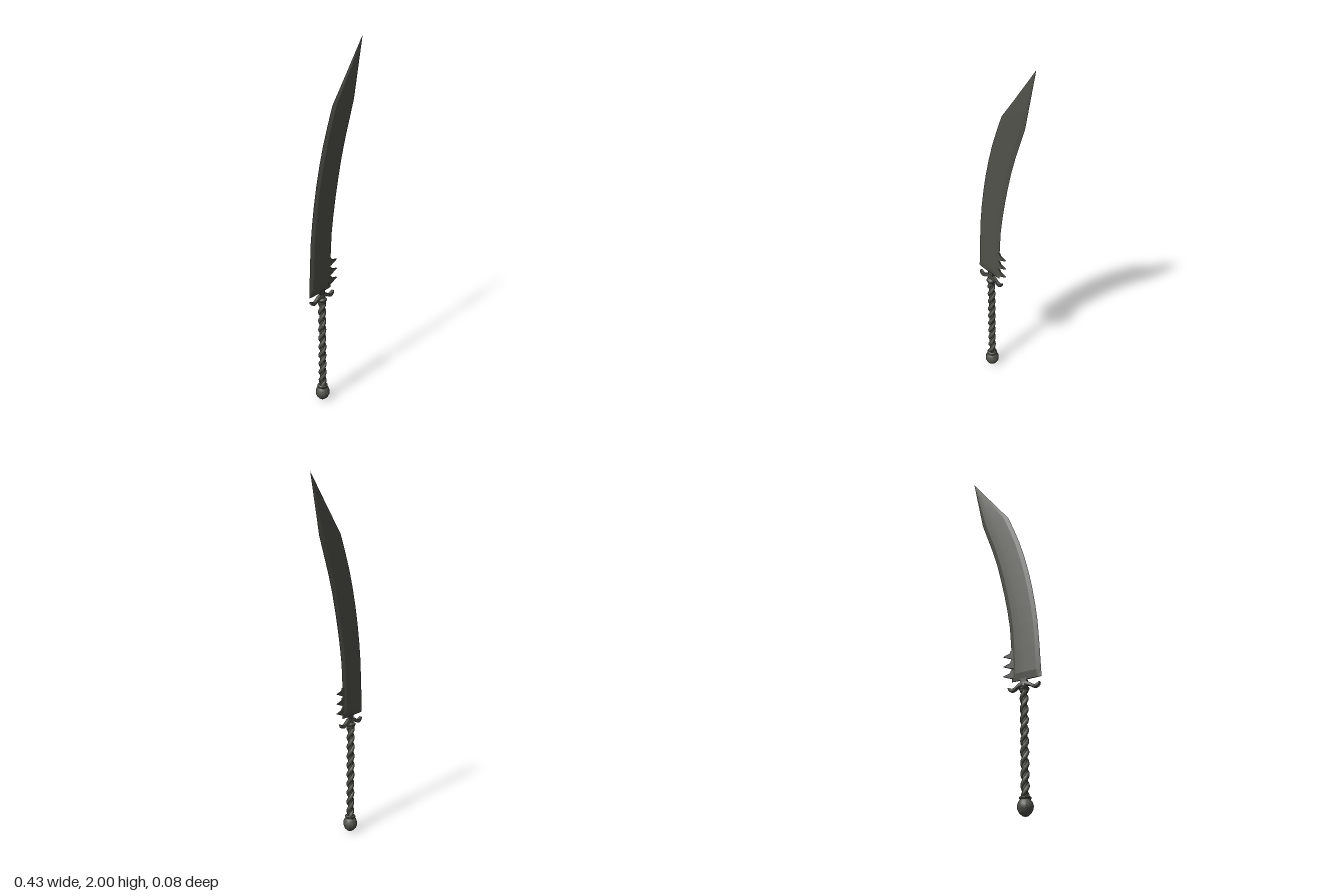
import * as THREE from 'three';
import { toCreasedNormals } from 'three/addons/utils/BufferGeometryUtils.js';

const GRIP_X = -0.117;

// Blade rows: [left edge x, right edge x, y, thickness factor]
const ROWS = [
  [-0.219, -0.045, 0.69, 0.35], [-0.217, -0.045, 0.73, 1], [-0.211, -0.044, 0.86, 1],
  [-0.202, -0.035, 1.0, 1], [-0.19, -0.02, 1.1, 1], [-0.174, -0.001, 1.2, 1],
  [-0.154, 0.021, 1.3, 1], [-0.129, 0.046, 1.4, 1], [-0.099, 0.077, 1.5, 1],
  [-0.062, 0.113, 1.6, 1], [-0.025, 0.145, 1.69, 1], [0.06, 0.168, 1.8, 0.8],
  [0.135, 0.189, 1.9, 0.5], [0.21, 0.21, 2.0, 0],
];
// Cross-section: [fraction of width, half thickness]
const SECTION = [[0, 0], [0.14, 0.0075], [0.62, 0.0095], [0.86, 0.0075], [1, 0]];

function bladeGeometry() {
  const ring = [...SECTION, ...SECTION.slice(1, -1).reverse().map(([f, z]) => [f, -z])];
  const n = ring.length, pos = [], idx = [];
  for (const [l, r, y, t] of ROWS) for (const [f, z] of ring) pos.push(l + (r - l) * f, y, z * t);
  for (let i = 0; i < ROWS.length - 1; i++) {
    for (let j = 0; j < n; j++) {
      const a = i * n + j, b = i * n + (j + 1) % n;
      idx.push(a, b, b + n);
      if (i < ROWS.length - 2) idx.push(a, b + n, a + n);
    }
  }
  for (let j = 1; j < n - 1; j++) idx.push(0, j + 1, j); // flat heel
  const g = new THREE.BufferGeometry();
  g.setAttribute('position', new THREE.Float32BufferAttribute(pos, 3));
  g.setIndex(idx);
  return toCreasedNormals(g, 0.12);
}

// One strand of the twisted grip
class Helix extends THREE.Curve {
  constructor(phase) { super(); this.phase = phase; }
  getPoint(t, out = new THREE.Vector3()) {
    const a = this.phase - t * Math.PI * 2 * 5;
    return out.set(0.011 * Math.cos(a), 0.085 + t * 0.55, 0.011 * Math.sin(a));
  }
}

export function createModel() {
  const steel = new THREE.MeshStandardMaterial({ color: 0x52524c });
  steel.name = 'darkSteel';
  const model = new THREE.Group();
  model.name = 'sword';
  const add = (name, geo, parent = model) => {
    const m = new THREE.Mesh(geo, steel);
    m.name = name;
    parent.add(m);
    return m;
  };

  add('blade', bladeGeometry());

  // Three barbs near the heel
  for (let i = 0; i < 3; i++) {
    const s = new THREE.Shape();
    s.moveTo(-0.06, -0.024);
    s.lineTo(-0.042, -0.02);
    s.lineTo(0.006, 0);
    s.lineTo(-0.036, 0.011);
    s.lineTo(-0.042, 0.024);
    s.lineTo(-0.06, 0.024);
    const g = new THREE.ExtrudeGeometry(s, { depth: 0.008, bevelEnabled: false });
    g.translate(0, 0.73 + i * 0.055, -0.004);
    add('barb', g);
  }

  const hilt = new THREE.Group();
  hilt.name = 'hilt';
  hilt.position.x = GRIP_X;
  model.add(hilt);

  // Winged guard
  const half = [[0.03, 0.673], [0.053, 0.657], [0.07, 0.653], [0.092, 0.663],
    [0.088, 0.645], [0.07, 0.635], [0.05, 0.64], [0.03, 0.652]];
  const outline = [[0, 0.68], ...half, [0, 0.655], ...half.slice().reverse().map(([x, y]) => [-x, y])];
  const curve = new THREE.CatmullRomCurve3(outline.map(([x, y]) => new THREE.Vector3(x, y, 0)), true);
  const shape = new THREE.Shape(curve.getPoints(54).slice(0, -1).map(p => new THREE.Vector2(p.x, p.y)));
  const guard = new THREE.ExtrudeGeometry(shape, {
    depth: 0.012, bevelThickness: 0.004, bevelSize: 0.003, bevelOffset: -0.003, bevelSegments: 2,
  });
  guard.translate(0, 0, -0.006);
  add('guard', toCreasedNormals(guard, 0.6), hilt);

  // Tang joining guard and blade
  add('tang', new THREE.BoxGeometry(0.036, 0.05, 0.014), hilt).position.y = 0.672;

  // Collar under the guard
  const lathe = (pts, sides) => new THREE.LatheGeometry(pts.map(([r, y]) => new THREE.Vector2(r, y)), sides);
  add('collar', toCreasedNormals(lathe(
    [[0, 0.622], [0.02, 0.622], [0.022, 0.632], [0.027, 0.638], [0.027, 0.645], [0.014, 0.655], [0.012, 0.67], [0, 0.67]], 12), 0.6), hilt);

  // Twisted grip
  for (const phase of [0, Math.PI]) {
    add('gripStrand', new THREE.TubeGeometry(new Helix(phase), 120, 0.0115, 8), hilt);
  }
  add('gripCore', new THREE.CylinderGeometry(0.014, 0.014, 0.55, 10).translate(0, 0.36, 0), hilt);

  // Ball pommel with its neck ring
  add('pommel', toCreasedNormals(lathe(
    [[0, 0.002], [0.015, 0.005], [0.03, 0.019], [0.039, 0.038], [0.04, 0.054], [0.034, 0.072],
      [0.025, 0.083], [0.029, 0.087], [0.029, 0.094], [0.021, 0.1], [0, 0.1]], 12), 0.5), hilt);

  return model;
}
